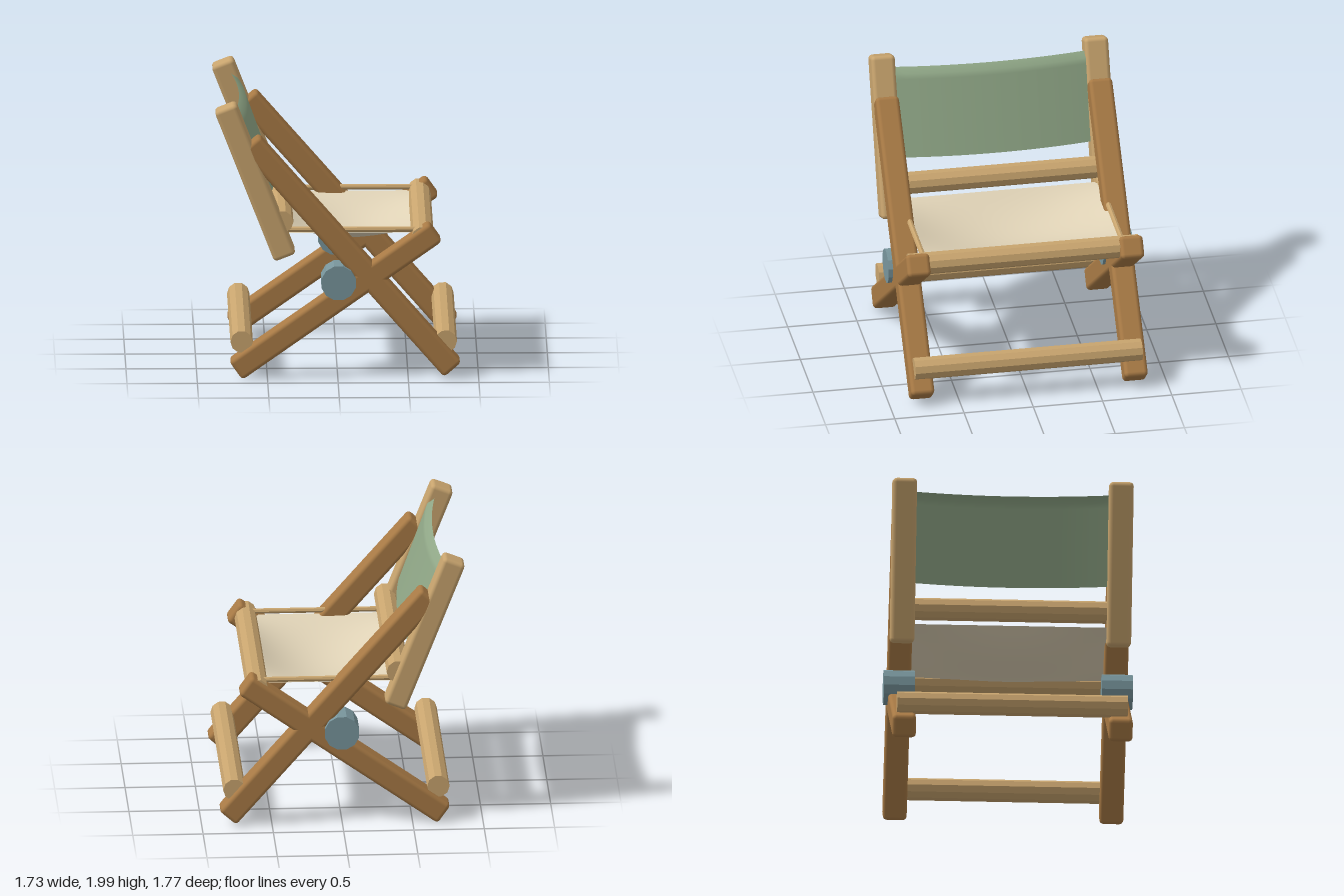
import * as THREE from 'three';
import { RoundedBoxGeometry } from 'three/addons/geometries/RoundedBoxGeometry.js';

const paint = (color, opts = {}) => {
  const m = new THREE.MeshStandardMaterial(opts);
  m.color.set(color);
  return m;
};

export function createModel() {
  const group = new THREE.Group();
  const lightWood = paint(0xc8a46e);
  const facetWood = paint(0xc8a46e, { flatShading: true });
  const darkWood = paint(0xa87a45);
  const hubMat = paint(0x78959c, { flatShading: true });
  const greenCloth = paint(0x8fa686, { side: THREE.DoubleSide });
  const creamCloth = paint(0xdfd2b6, { side: THREE.DoubleSide });

  const add = (name, geometry, material, x, y, z) => {
    const mesh = new THREE.Mesh(geometry, material);
    mesh.name = name;
    mesh.position.set(x, y, z);
    group.add(mesh);
    return mesh;
  };

  // Rounded beam between two points of the side profile
  const beam = (name, [x0, y0], [x1, y1], z, depth, material) => {
    const length = Math.hypot(x1 - x0, y1 - y0);
    const geometry = new RoundedBoxGeometry(length, 0.165, depth, 2, 0.03);
    const mesh = add(name, geometry, material, (x0 + x1) / 2, (y0 + y1) / 2, z);
    mesh.rotation.z = Math.atan2(y1 - y0, x1 - x0);
  };

  // Faceted cylinder lying across the chair
  const crossRod = (name, x, y, z, radius, length, sides, material) => {
    const geometry = new THREE.CylinderGeometry(radius, radius, length, sides);
    geometry.rotateY(Math.PI / sides).rotateX(Math.PI / 2);
    add(name, geometry, material, x, y, z);
  };

  // Cloth: a grid whose points follow a rule of u (along) and w (across, -1 to 1)
  const cloth = (name, rule, material) => {
    const geometry = new THREE.PlaneGeometry(2, 2, 16, 16);
    const pos = geometry.attributes.position;
    for (let i = 0; i < pos.count; i++) {
      const [x, y, z] = rule(pos.getY(i), pos.getX(i));
      pos.setXYZ(i, x, y, z);
    }
    geometry.computeVertexNormals();
    add(name, geometry, material, 0, 0, 0);
  };

  // Side frames
  for (const s of [1, -1]) {
    const z = 0.77 * s;
    beam('backPost', [-0.8, 1.97], [-0.373, 0.88], z, 0.173, lightWood);
    beam('longLeg', [-0.622, 1.708], [0.817, 0.063], z, 0.17, darkWood);
    beam('shortLeg', [-0.725, 0.06], [0.693, 1.06], z, 0.17, darkWood);
    crossRod('pivotHub', 0.005, 0.703, 0.775 * s, 0.126, 0.22, 12, hubMat);

    // Slim rail carrying the edge of the seat
    const rail = new THREE.CylinderGeometry(0.02, 0.02, 0.95, 8).rotateZ(Math.PI / 2);
    add('seatRail', rail, facetWood, 0.1, 1.06, 0.717 * s);
  }

  // Cross rods
  crossRod('rearFootRod', -0.683, 0.267, 0, 0.08, 1.64, 10, facetWood);
  crossRod('frontFootRod', 0.767, 0.267, 0, 0.08, 1.64, 10, facetWood);
  crossRod('rearSeatRod', -0.395, 1.137, 0, 0.08, 1.64, 10, facetWood);
  crossRod('frontSeatRod', 0.603, 1.02, 0, 0.08, 1.66, 10, facetWood);

  // Sagging seat
  cloth('seat', (u, w) => [
    0.1 + 0.46 * u,
    1.035 - 0.145 * (1 - u * u) * (1 - w * w),
    0.715 * w,
  ], creamCloth);

  // Backrest, rolled over at the top and bowed forward in the middle
  cloth('backrest', (u, w) => {
    const t = (1 - u) / 2;
    const k = Math.min(t / 0.0625, 1);
    const d = Math.max(t - 0.0625, 0) / 0.9375;
    return [
      -0.74 + 0.05 * k + 0.203 * d + 0.05 * (1 - w * w),
      1.895 - 0.033 * k - 0.565 * d,
      0.7 * w,
    ];
  }, greenCloth);

  return group;
}
